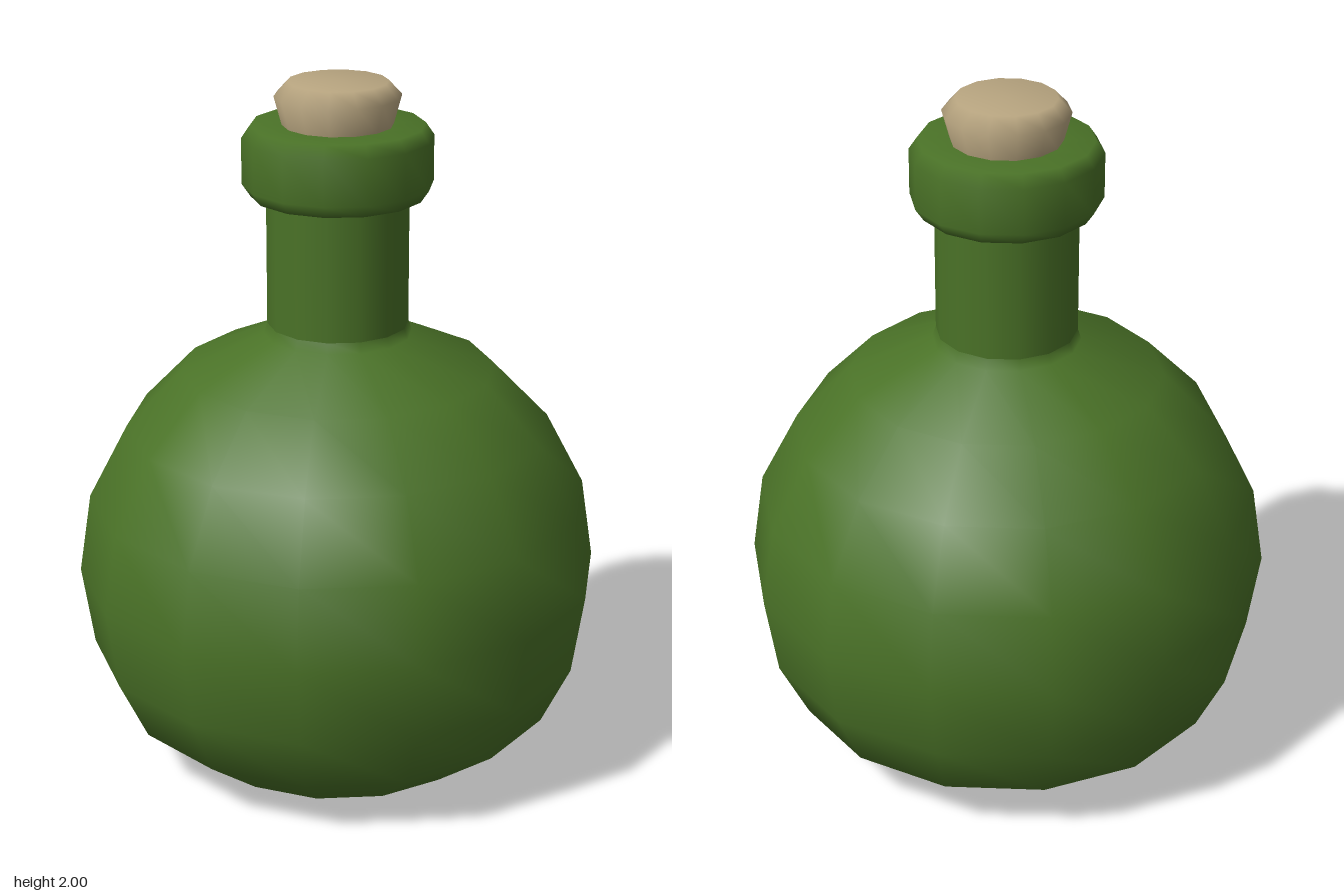
import * as THREE from 'three';

const SIDES = 14;

export function createModel() {
  const group = new THREE.Group();
  const glass = new THREE.MeshStandardMaterial({ color: 0x4a7227 });
  glass.name = 'green glass';
  const corkTan = new THREE.MeshStandardMaterial({ color: 0xb8a580 });
  corkTan.name = 'cork tan';

  // Turned part from [radius, height] pairs, listed bottom to top
  const turn = (name, profile, material) => {
    const points = profile.map(([r, y]) => new THREE.Vector2(r, y));
    const mesh = new THREE.Mesh(new THREE.LatheGeometry(points, SIDES), material);
    mesh.name = name;
    group.add(mesh);
  };

  // Round belly with a nearly flat base
  turn('body', [
    [0, 0], [0.425, 0.015], [0.63, 0.165], [0.715, 0.34], [0.75, 0.57],
    [0.715, 0.8], [0.605, 1.01], [0.445, 1.175], [0.21, 1.28], [0.2, 1.31],
  ], glass);

  // Straight neck
  turn('neck', [[0.2, 1.3], [0.2, 1.7]], glass);

  // Bevelled collar around the mouth
  turn('lip', [
    [0.18, 1.68], [0.243, 1.68], [0.267, 1.715],
    [0.267, 1.845], [0.243, 1.88], [0.13, 1.88],
  ], glass);

  // Tapered stopper with a bevelled top
  turn('cork', [
    [0.15, 1.84], [0.155, 1.88], [0.177, 1.96], [0.14, 2], [0, 2],
  ], corkTan);

  return group;
}
